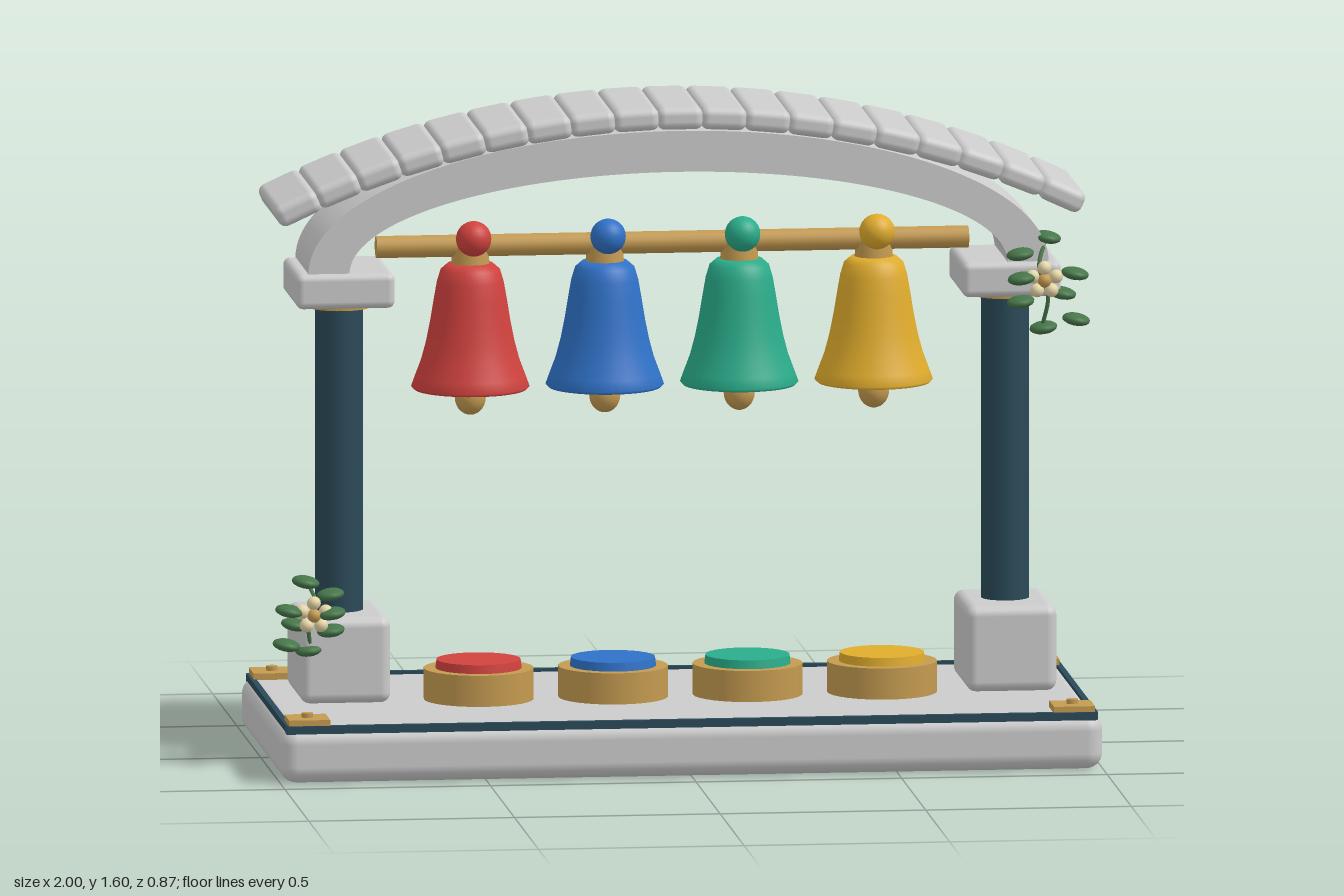
import * as THREE from 'three';
import { RoundedBoxGeometry } from 'three/addons/geometries/RoundedBoxGeometry.js';
import { toCreasedNormals } from 'three/addons/utils/BufferGeometryUtils.js';

const mat = (color) => new THREE.MeshStandardMaterial({ color });
const stone = mat(0xcccccc);
const brass = mat(0xc49a50);
const teal = mat(0x2a4a58);
const leafGreen = mat(0x47764a);
const cream = mat(0xe6d6a6);
const bellColors = [0xd0423e, 0x2f72c8, 0x2aac8a, 0xe0ac2c];

function add(parent, name, geometry, material, x = 0, y = 0, z = 0) {
  const mesh = new THREE.Mesh(geometry, material);
  mesh.name = name;
  mesh.position.set(x, y, z);
  parent.add(mesh);
  return mesh;
}

function group(parent, name, x = 0, y = 0, z = 0) {
  const g = new THREE.Group();
  g.name = name;
  g.position.set(x, y, z);
  parent.add(g);
  return g;
}

const cyl = (rTop, rBottom, h, n = 32) => new THREE.CylinderGeometry(rTop, rBottom, h, n);

// Stone slab with inlaid trim and brass corner plates
function buildBase(root) {
  const base = group(root, 'base');
  add(base, 'slab', new RoundedBoxGeometry(2, 0.135, 0.866, 4, 0.04), stone, 0, 0.0675, 0);
  for (const s of [-1, 1]) {
    add(base, 'longTrim', new THREE.BoxGeometry(1.97, 0.02, 0.014), teal, 0, 0.131, s * 0.416);
    add(base, 'shortTrim', new THREE.BoxGeometry(0.014, 0.02, 0.83), teal, s * 0.98, 0.131, 0);
    for (const t of [-1, 1]) {
      add(base, 'cornerPlate', new THREE.BoxGeometry(0.1, 0.016, 0.1), brass, s * 0.93, 0.147, t * 0.37);
      add(base, 'cornerStud', cyl(0.014, 0.014, 0.014, 16), brass, s * 0.93, 0.159, t * 0.37);
    }
  }
}

// Footing, column, collar and capital
function buildPost(root, x) {
  const post = group(root, x < 0 ? 'rightPost' : 'leftPost', x, 0, 0);
  add(post, 'footing', new RoundedBoxGeometry(0.22, 0.21, 0.3, 3, 0.025), stone, 0, 0.255, 0);
  add(post, 'column', cyl(0.058, 0.058, 0.77), teal, 0, 0.73, 0);
  add(post, 'collar', cyl(0.078, 0.078, 0.02), brass, 0, 1.11, 0);
  add(post, 'capital', new RoundedBoxGeometry(0.24, 0.086, 0.3, 3, 0.018), stone, 0, 1.158, 0);
}

// Half-elliptical arch carrying a curved row of slats
function buildRoof(root) {
  const roof = group(root, 'roof');
  const shape = new THREE.Shape();
  shape.moveTo(0.9, 0);
  shape.absellipse(0, 0, 0.9, 0.335, 0, Math.PI, false);
  shape.lineTo(-0.8, 0);
  shape.absellipse(0, 0, 0.8, 0.235, Math.PI, 0, true);
  const arch = new THREE.ExtrudeGeometry(shape, { depth: 0.27, bevelEnabled: false, curveSegments: 40 });
  arch.translate(0, 0, -0.135);
  add(roof, 'arch', toCreasedNormals(arch, 0.5), stone, 0, 1.2, 0);

  const count = 19, radius = 2.21, halfAngle = 0.434;
  const slatGeo = new RoundedBoxGeometry(0.112, 0.055, 0.37, 3, 0.02);
  for (let i = 0; i < count; i++) {
    const a = halfAngle * (2 * i / (count - 1) - 1);
    const slat = add(roof, 'roofSlat', slatGeo, stone,
      radius * Math.sin(a), 1.571 - radius * (1 - Math.cos(a)), 0);
    slat.rotation.z = -a;
  }
}

// Hollow bell: outer wall up to the crown, inner wall back down to the lip
const outer = [[0.136, 0.893], [0.143, 0.9], [0.134, 0.925], [0.119, 0.965], [0.107, 1.01],
  [0.097, 1.06], [0.088, 1.115], [0.081, 1.155], [0.072, 1.185], [0.055, 1.2], [0, 1.203]];
const inner = [[0, 1.18], [0.055, 1.175], [0.075, 1.11], [0.094, 1.01], [0.118, 0.93], [0.126, 0.893], [0.136, 0.893]];
const bellGeo = new THREE.LatheGeometry([...outer, ...inner].map(([r, y]) => new THREE.Vector2(r, y)), 40);

function buildBell(root, x, color) {
  const bell = group(root, 'bell', x, 0, 0);
  const paint = mat(color);
  const bodyPaint = mat(color);
  bodyPaint.side = THREE.DoubleSide;
  add(bell, 'bellBody', bellGeo, bodyPaint);
  add(bell, 'hanger', cyl(0.04, 0.048, 0.08, 24), brass, 0, 1.227, 0);
  add(bell, 'knob', new THREE.SphereGeometry(0.043, 24, 16), paint, 0, 1.27, 0.07);
  add(bell, 'clapperRod', cyl(0.01, 0.01, 0.3, 10), brass, 0, 1.03, 0);
  add(bell, 'clapper', new THREE.SphereGeometry(0.038, 20, 14), brass, 0, 0.873, 0).scale.y = 1.15;
}

// Round push button on the slab below each bell
function buildButton(root, x, color) {
  const button = group(root, 'button', x, 0, 0.172);
  add(button, 'buttonRing', cyl(0.133, 0.133, 0.076, 32), brass, 0, 0.2, 0);
  add(button, 'buttonCap', cyl(0.102, 0.105, 0.026, 32), mat(color), 0, 0.246, 0);
}

// Sprig: stem, flat leaves (x, y, z offsets) and a five-petal flower
const leaves = [[0.015, 0.095, -0.045], [-0.055, 0.06, -0.01], [0.075, 0.015, 0.02], [-0.055, 0.005, 0.02],
  [0.05, -0.04, -0.03], [-0.055, -0.055, 0], [0.08, -0.1, 0], [0.005, -0.125, -0.04]];
const leafGeo = new THREE.SphereGeometry(1, 14, 10);
const petalGeo = new THREE.SphereGeometry(0.017, 12, 8);

function buildSprig(root, x, y, z, sx, sy) {
  const sprig = group(root, 'sprig', x, y, z);
  const stem = new THREE.CatmullRomCurve3([[0, -0.125, -0.03], [0.012, -0.04, 0], [-0.01, 0.03, 0], [0.01, 0.095, -0.03]]
    .map(([a, b, c]) => new THREE.Vector3(a * sx, b * sy, c)));
  add(sprig, 'stem', new THREE.TubeGeometry(stem, 16, 0.005, 6), leafGreen);
  leaves.forEach(([lx, ly, lz], i) => {
    const leaf = add(sprig, 'leaf', leafGeo, leafGreen, lx * sx, ly * sy, lz);
    leaf.scale.set(0.034, 0.015, 0.046);
    leaf.rotation.z = (i % 2 ? 1 : -1) * 0.15;
  });
  for (let i = 0; i < 5; i++) {
    const a = i * Math.PI * 2 / 5 + Math.PI / 2;
    add(sprig, 'petal', petalGeo, cream, 0.03 * Math.cos(a), 0.03 * Math.sin(a), 0.024);
  }
  add(sprig, 'flowerHeart', petalGeo, brass, 0, 0, 0.028);
}

export function createModel() {
  const root = new THREE.Group();
  root.name = 'bellStand';
  buildBase(root);
  buildPost(root, -0.81);
  buildPost(root, 0.81);
  buildRoof(root);

  const beam = add(root, 'beam', cyl(0.027, 0.027, 1.44, 16), brass, 0, 1.243, 0);
  beam.rotation.z = Math.PI / 2;

  bellColors.forEach((color, i) => {
    const x = (i - 1.5) * 0.327;
    buildBell(root, x, color);
    buildButton(root, x, color);
  });

  buildSprig(root, 0.885, 1.16, 0.152, 1, 1);
  buildSprig(root, -0.893, 0.375, 0.165, -0.8, 0.75);
  return root;
}
